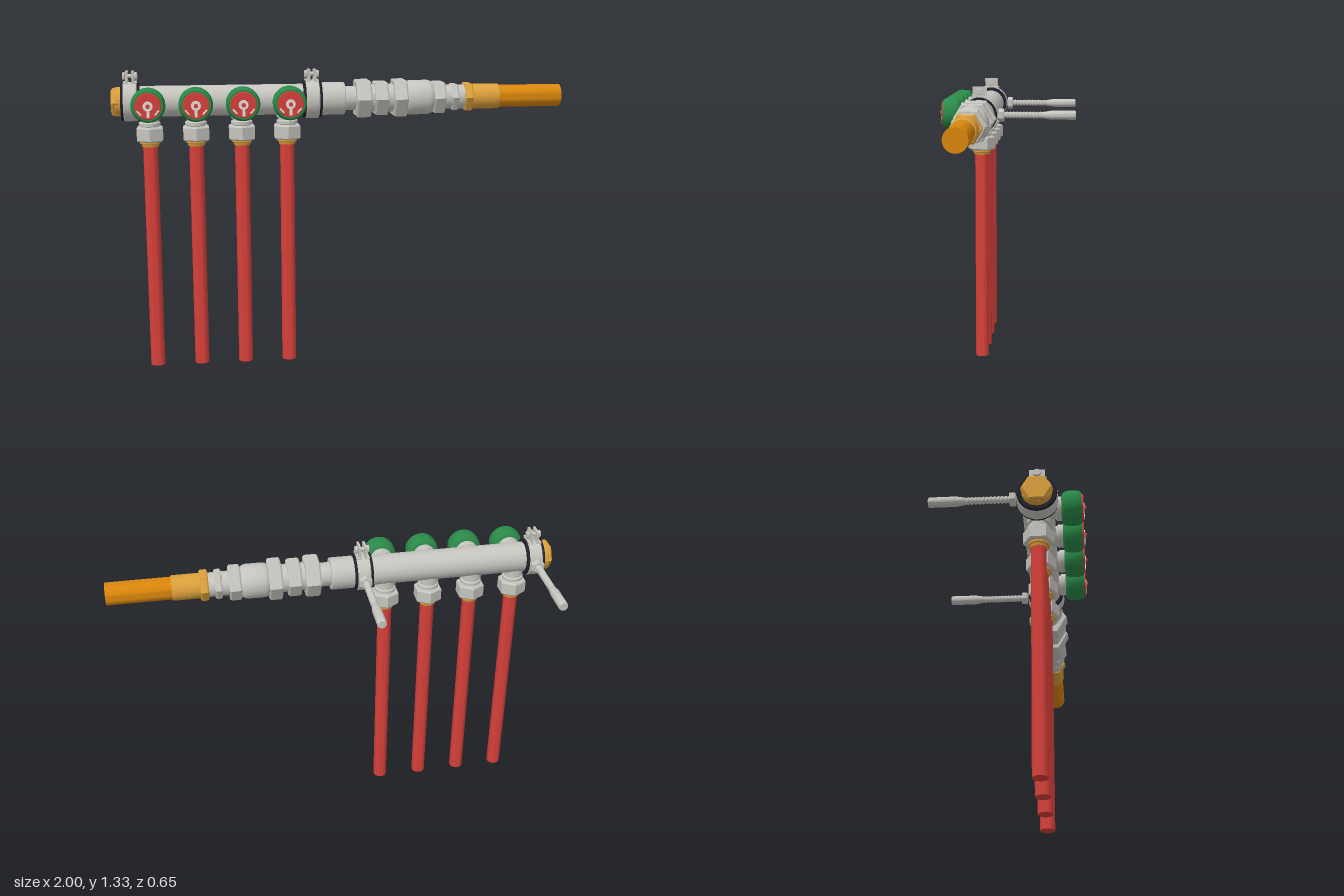
import * as THREE from 'three';
import { toCreasedNormals } from 'three/addons/utils/BufferGeometryUtils.js';

const mat = (name, color) => new THREE.MeshStandardMaterial({ name, color });
const AXIS_Y = 1.2, AXIS_Z = 0.125;

export function createModel() {
  const steel = mat('steel', 0xc6c4be), rubber = mat('black rubber', 0x20212a);
  const green = mat('green plastic', 0x2a8a48), red = mat('red', 0xd6403a);
  const brass = mat('brass', 0xdca03c), copper = mat('orange pipe', 0xd9860c);
  const white = mat('white marking', 0xe4e0dc);
  const model = new THREE.Group();

  // Turned part: profile is [radius, distance along axis] in ascending order
  function turned(parent, name, material, profile, axis = 'x', sides = 32) {
    const pts = profile.map(([r, t]) => new THREE.Vector2(r, t));
    const geo = toCreasedNormals(new THREE.LatheGeometry(pts, sides), 0.6);
    if (axis === 'x') geo.rotateZ(-Math.PI / 2);
    if (axis === 'z') geo.rotateX(Math.PI / 2);
    const mesh = new THREE.Mesh(geo, material);
    mesh.name = name;
    parent.add(mesh);
    return mesh;
  }
  // Cylinder or prism with chamfered ends
  function rod(parent, name, material, r, a, b, axis = 'x', sides = 32, c = 0.004) {
    return turned(parent, name, material,
      [[0, a], [r - c, a], [r, a + c], [r, b - c], [r - c, b], [0, b]], axis, sides);
  }
  function box(parent, name, material, w, h, d, x, y, z) {
    const mesh = new THREE.Mesh(new THREE.BoxGeometry(w, h, d), material);
    mesh.name = name;
    mesh.position.set(x, y, z);
    parent.add(mesh);
    return mesh;
  }
  function group(name, x, y, z) {
    const g = new THREE.Group();
    g.name = name;
    g.position.set(x, y, z);
    model.add(g);
    return g;
  }

  // Main run along x
  const run = group('mainRun', 0, AXIS_Y, AXIS_Z);
  rod(run, 'endCapNut', brass, 0.066, -1, -0.962, 'x', 6, 0.008);
  rod(run, 'endCapCollar', brass, 0.063, -0.985, -0.94);
  rod(run, 'manifoldTube', steel, 0.067, -0.95, -0.1);
  rod(run, 'outletSleeve', steel, 0.072, -0.1, 0.015);
  rod(run, 'outletNeck', steel, 0.053, 0.01, 0.07);
  rod(run, 'couplingCore', steel, 0.062, 0.1, 0.3);
  const nuts = [[0.093, 0.063, 0.13], [0.084, 0.147, 0.207], [0.093, 0.232, 0.292],
    [0.079, 0.412, 0.466], [0.066, 0.495, 0.528]];
  for (const [r, a, b] of nuts) rod(run, 'hexNut', steel, r, a, b, 'x', 6, 0.007);
  turned(run, 'roundedSleeve', steel, [[0, 0.288], [0.064, 0.288], [0.073, 0.296], [0.077, 0.31],
    [0.077, 0.388], [0.073, 0.402], [0.064, 0.413], [0, 0.413]]);
  rod(run, 'adapterCore', steel, 0.054, 0.45, 0.56);
  rod(run, 'brassNut', brass, 0.069, 0.555, 0.592, 'x', 6, 0.006);
  rod(run, 'brassSocket', brass, 0.056, 0.588, 0.715);
  rod(run, 'supplyPipe', copper, 0.05, 0.7, 1, 'x', 32, 0.001);

  // Pipe clamps with ears on top and a threaded stud to the back
  for (const x of [-0.918, -0.13]) {
    const clamp = group('pipeClamp', x, AXIS_Y, AXIS_Z);
    rod(clamp, 'clampBand', steel, 0.085, -0.03, 0.03);
    for (const s of [-1, 1]) {
      rod(clamp, 'rubberLining', rubber, 0.083, s * 0.034 - 0.007, s * 0.034 + 0.007);
      box(clamp, 'clampEar', steel, 0.01, 0.06, 0.065, s * 0.013, 0.101, 0);
      box(clamp, 'earFoot', steel, 0.022, 0.006, 0.08, s * 0.018, 0.083, 0);
    }
    rod(clamp, 'clampBolt', steel, 0.009, -0.03, 0.03, 'x', 16, 0.001).position.y = 0.11;
    for (const s of [-1, 1])
      rod(clamp, 'boltHead', steel, 0.017, s * 0.026 - 0.006, s * 0.026 + 0.006, 'x', 16, 0.002).position.y = 0.11;
    rod(clamp, 'studNut', steel, 0.031, -0.115, -0.088, 'z', 6);
    const thread = [[0, -0.3]];
    for (let i = 0; i <= 24; i++) thread.push([i % 2 ? 0.0125 : 0.0165, -0.3 + i * 0.0078]);
    thread.push([0, -0.11]);
    turned(clamp, 'threadedStud', steel, thread, 'z', 14);
    turned(clamp, 'wallPlug', steel, [[0, -0.45], [0.018, -0.45], [0.021, -0.445], [0.021, -0.335],
      [0.014, -0.292], [0, -0.292]], 'z', 20);
  }

  // Four outlets, each with a valve knob and a drop pipe
  for (let i = 0; i < 4; i++) {
    const x = -0.84 + i * 0.2;
    const valve = group('valve', x, AXIS_Y, 0);
    rod(valve, 'valveNeck', steel, 0.044, 0.16, 0.222, 'z', 24);
    rod(valve, 'valveCollar', steel, 0.05, 0.198, 0.227, 'z', 24);
    turned(valve, 'valveKnob', green, [[0, 0.222], [0.052, 0.222], [0.066, 0.23], [0.072, 0.242],
      [0.073, 0.28], [0.07, 0.295], [0.063, 0.306], [0, 0.306]], 'z', 36);
    rod(valve, 'dial', red, 0.056, 0.3, 0.313, 'z', 36, 0.002);
    rod(valve, 'pointerHub', white, 0.021, 0.308, 0.317, 'z', 24, 0.001);
    rod(valve, 'hubScrew', red, 0.009, 0.312, 0.325, 'z', 16, 0.001);
    box(valve, 'pointer', white, 0.012, 0.036, 0.009, 0, -0.03, 0.3125);
    for (const s of [-1, 1])
      box(valve, 'dialMark', white, 0.007, 0.026, 0.004, s * 0.037, -0.027, 0.3135).rotation.z = -s * 0.75;

    const drop = group('dropPipe', x, 0, AXIS_Z);
    turned(drop, 'outletStub', steel, [[0, 1.08], [0.04, 1.08], [0.04, 1.092], [0.047, 1.095],
      [0.047, 1.108], [0.04, 1.112], [0.04, 1.12], [0.047, 1.124], [0.047, 1.15], [0, 1.15]], 'y', 24);
    rod(drop, 'compressionNut', steel, 0.065, 1.026, 1.09, 'y', 6, 0.006);
    turned(drop, 'brassRing', brass, [[0, 1.003], [0.036, 1.003], [0.039, 1.014], [0.044, 1.017],
      [0.044, 1.03], [0, 1.03]], 'y', 24);
    rod(drop, 'redPipe', red, 0.032, 0, 1.01, 'y', 24, 0.0005);
  }
  return model;
}
